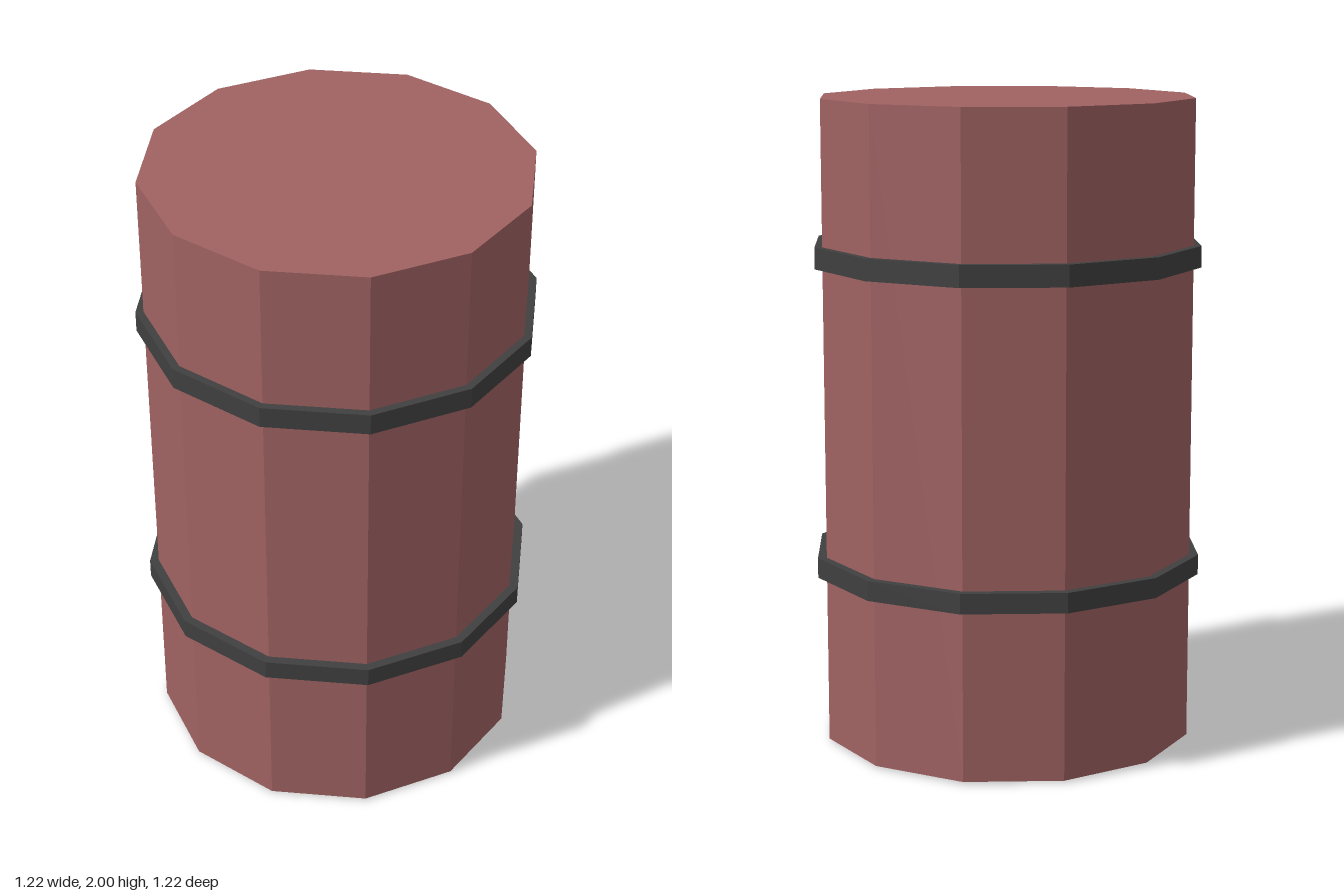
import * as THREE from 'three';

const SIDES = 12;

// Faceted solid of revolution from [radius, height] pairs, listed bottom to top
function turned(name, profile, color) {
  const points = profile.map(([r, y]) => new THREE.Vector2(r, y));
  const material = new THREE.MeshStandardMaterial({ color, flatShading: true });
  const mesh = new THREE.Mesh(new THREE.LatheGeometry(points, SIDES), material);
  mesh.name = name;
  return mesh;
}

export function createModel() {
  const group = new THREE.Group();
  group.name = 'barrel';

  // Drum with a flat lid and a recessed underside inside a thin rim
  group.add(turned('drum', [
    [0, 0.06], [0.55, 0.06], [0.555, 0], [0.565, 0], [0.582, 0.006], [0.582, 2], [0, 2],
  ], 0xa06262));

  // Two hoops around the drum
  const hoops = [
    ['lowerHoop', 0.53, 0.592, 0.61],
    ['upperHoop', 1.49, 1.556, 0.606],
  ];
  for (const [name, y0, y1, r] of hoops) {
    group.add(turned(name, [[0.57, y0], [r, y0], [r, y1], [0.57, y1]], 0x404040));
  }
  return group;
}
